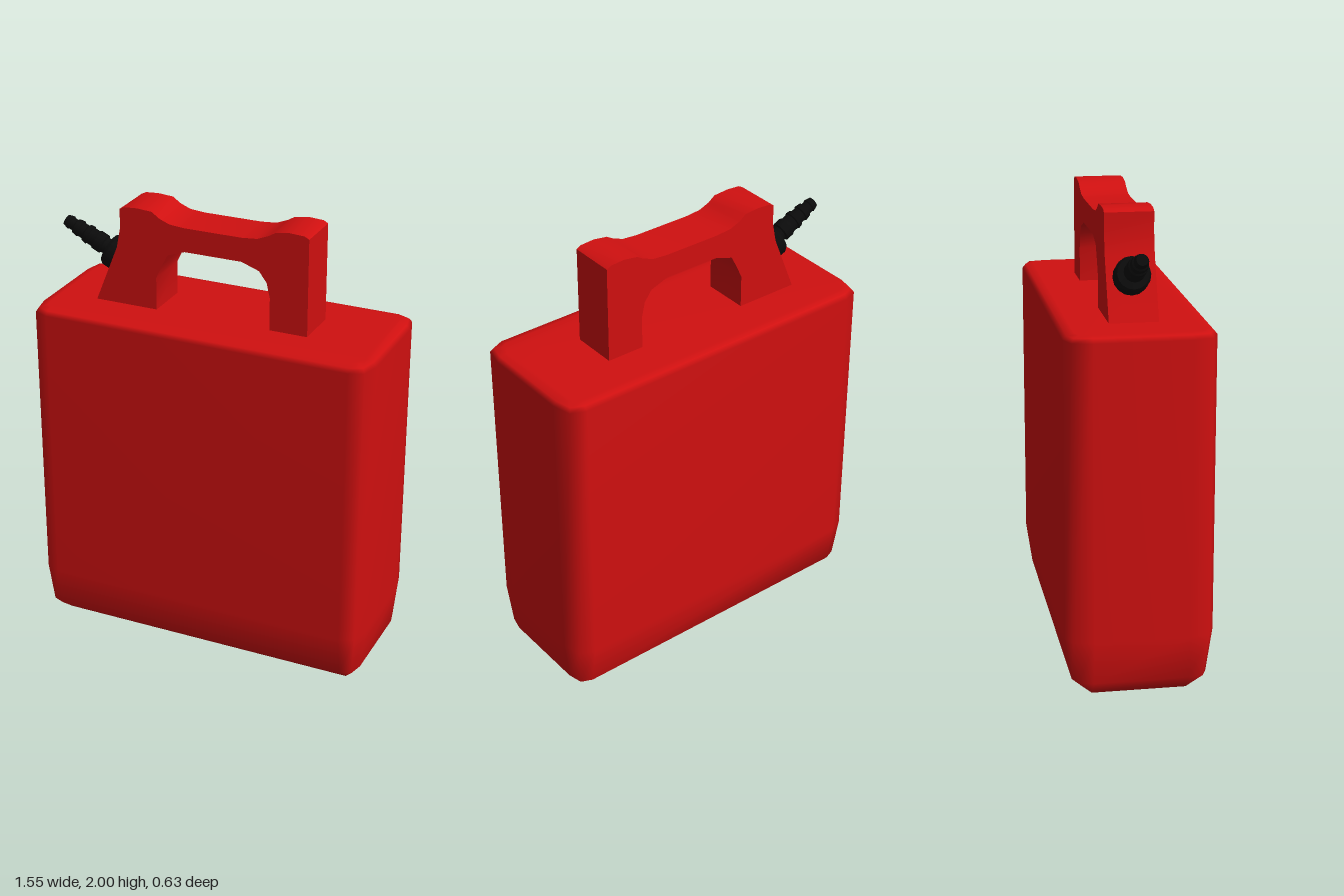
import * as THREE from 'three';
import { mergeVertices, toCreasedNormals } from 'three/addons/utils/BufferGeometryUtils.js';

const red = new THREE.MeshStandardMaterial({ color: 0xd01010 });
const black = new THREE.MeshStandardMaterial({ color: 0x0b0b0b });

function part(name, geometry, material) {
  const mesh = new THREE.Mesh(geometry, material);
  mesh.name = name;
  return mesh;
}

// Tank: stacked rounded rectangles [y, halfX, halfZ] whose corners shrink to a point at the base
function tankGeometry() {
  const coreX = 0.69, coreZ = 0.2;
  const rings = [
    [0, 0.69, 0.2], [0.07, 0.755, 0.285], [0.26, 0.775, 0.313],
    [1.53, 0.775, 0.313], [1.548, 0.76, 0.298], [1.555, 0.725, 0.265],
  ];
  const corner = [[1, 0], [0.76, 0.76], [0, 1]];
  const positions = [], index = [];
  for (const [y, hx, hz] of rings) {
    for (const [sx, sz] of [[1, 1], [-1, 1], [-1, -1], [1, -1]]) {
      const arc = sx * sz > 0 ? corner : [...corner].reverse();
      for (const [u, v] of arc) {
        positions.push(sx * (coreX + u * (hx - coreX)), y, sz * (coreZ + v * (hz - coreZ)));
      }
    }
  }
  const n = 12, last = (rings.length - 1) * n;
  for (let i = 0; i < rings.length - 1; i++) {
    for (let j = 0; j < n; j++) {
      const a = i * n + j, b = i * n + (j + 1) % n;
      index.push(a, a + n, b, b, a + n, b + n);
    }
  }
  // Flat caps
  for (let j = 1; j < n - 1; j++) {
    index.push(0, j, j + 1);
    index.push(last, last + j + 1, last + j);
  }
  const geometry = new THREE.BufferGeometry();
  geometry.setAttribute('position', new THREE.Float32BufferAttribute(positions, 3));
  geometry.setIndex(index);
  const merged = mergeVertices(geometry, 1e-4);
  merged.computeVertexNormals();
  return merged;
}

// Handle: side outline of the arch, extruded across z
function handleGeometry() {
  const outline = [
    [-0.555, 1.55], [-0.45, 1.81], [-0.432, 1.9], [-0.432, 1.985], [-0.41, 1.996], [-0.35, 2],
    [-0.28, 1.995], [-0.25, 1.972], [-0.2, 1.952], [-0.13, 1.946],
    [0.13, 1.946], [0.2, 1.952], [0.25, 1.972], [0.28, 1.99], [0.345, 2], [0.41, 1.996],
    [0.43, 1.985], [0.43, 1.55],
    [0.26, 1.55], [0.26, 1.7], [0.245, 1.765], [0.21, 1.812], [0.13, 1.84],
    [-0.13, 1.84], [-0.21, 1.812], [-0.235, 1.765], [-0.265, 1.7], [-0.265, 1.55],
  ].map(([x, y]) => new THREE.Vector2(x, y));
  const geometry = new THREE.ExtrudeGeometry(new THREE.Shape(outline), { depth: 0.206, bevelEnabled: false });
  geometry.translate(0, 0, -0.105);
  return toCreasedNormals(geometry, 0.7);
}

// Spout: collar, neck and stepped ribs turned around one axis, [radius, height]
function spoutGeometry() {
  const profile = [
    [0, -0.1], [0.072, -0.1], [0.076, -0.075], [0.076, -0.015], [0.066, 0], [0.036, 0.002],
    [0.036, 0.025], [0.044, 0.03], [0.044, 0.065], [0.038, 0.075],
    [0.038, 0.1], [0.043, 0.104], [0.04, 0.122], [0.033, 0.128],
    [0.033, 0.15], [0.038, 0.154], [0.034, 0.178], [0.027, 0.183],
    [0.027, 0.2], [0.031, 0.205], [0.024, 0.23], [0, 0.23],
  ].map(([r, h]) => new THREE.Vector2(r, h));
  return toCreasedNormals(new THREE.LatheGeometry(profile, 16), 0.6);
}

export function createModel() {
  const model = new THREE.Group();
  model.name = 'fuelCan';
  model.add(part('tank', tankGeometry(), red));
  model.add(part('handle', handleGeometry(), red));

  const spout = part('spout', spoutGeometry(), black);
  spout.position.set(-0.54, 1.755, -0.003);
  spout.quaternion.setFromUnitVectors(
    new THREE.Vector3(0, 1, 0),
    new THREE.Vector3(-0.208, 0.098, 0).normalize(),
  );
  model.add(spout);
  return model;
}
